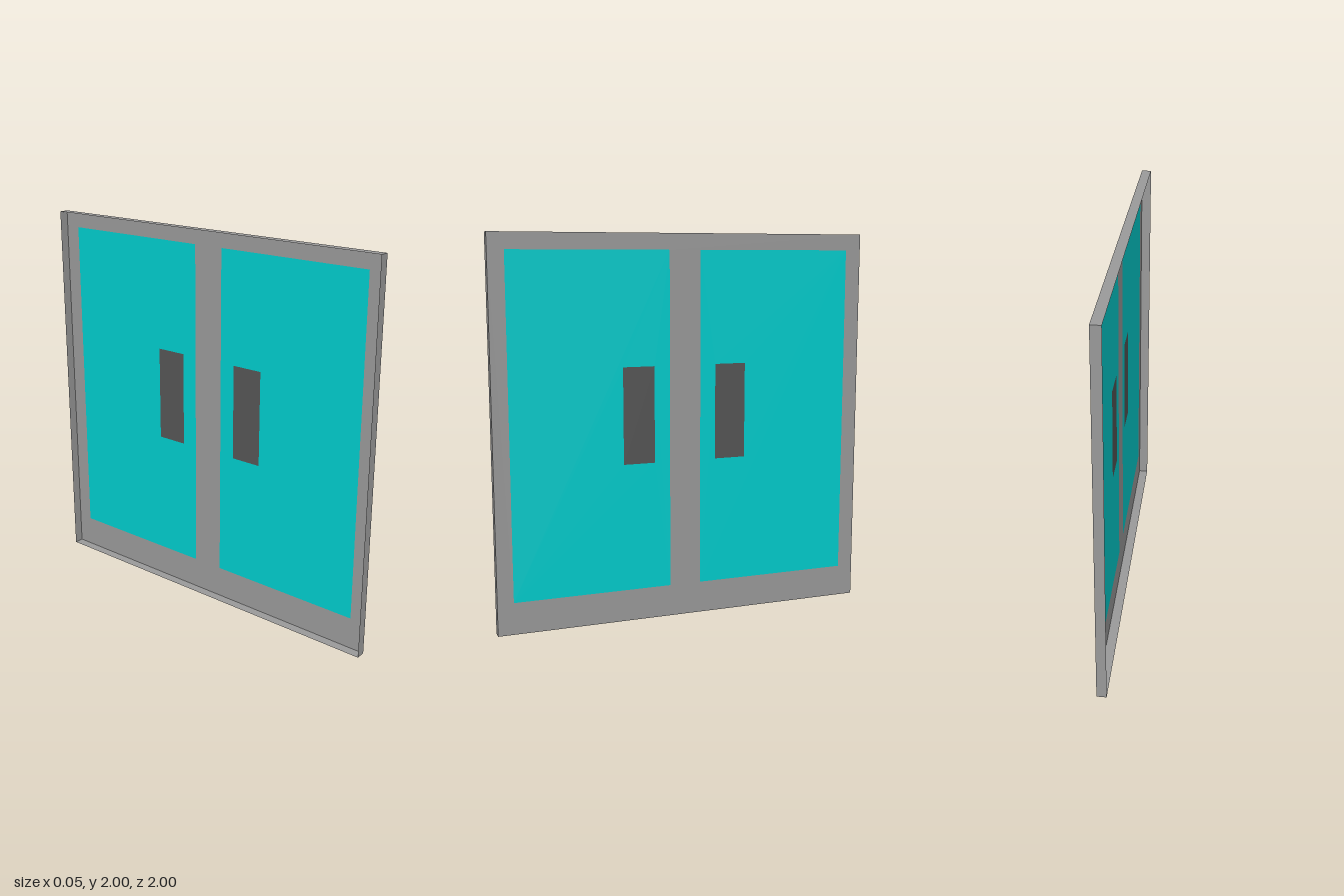
import * as THREE from 'three';

const U = 1 / 12;      // layout unit
const T = 0.025;       // half thickness

const paint = (color) => new THREE.MeshStandardMaterial({ color, side: THREE.DoubleSide, flatShading: true });

// Closed rectangle from corner coordinates given in layout units
function rect(Type, [x0, y0, x1, y1]) {
  return new Type([[x0, y0], [x1, y0], [x1, y1], [x0, y1]].map(([x, y]) => new THREE.Vector2(x * U, y * U)));
}

// Flat sheet with rectangular cut-outs, facing +x
function sheet(name, material, outline, holes = []) {
  const shape = rect(THREE.Shape, outline);
  shape.holes = holes.map((h) => rect(THREE.Path, h));
  const mesh = new THREE.Mesh(new THREE.ShapeGeometry(shape).rotateY(Math.PI / 2), material);
  mesh.position.x = T;
  mesh.name = name;
  return mesh;
}

export function createModel() {
  const group = new THREE.Group();
  group.name = 'doubleDoor';
  const frameMat = paint(0x999999);
  const panelMat = paint(0x00cccc);
  const handleMat = paint(0x555555);

  const panels = [[-11, 2, -1, 23], [1, 2, 11, 23]];
  const handles = [[-4, 10, -2, 16], [2, 10, 4, 16]];

  // Front sheet: frame, door panels and handles all flush
  group.add(sheet('frame', frameMat, [-12, 0, 12, 24], panels));
  panels.forEach((p, i) => {
    group.add(sheet('doorPanel', panelMat, p, [handles[i]]));
    group.add(sheet('handle', handleMat, handles[i]));
  });

  // Thin rim around the sheet, open at the back (-x)
  ['topRim', 'frontRim', 'bottomRim', 'backRim'].forEach((name, i) => {
    const geometry = new THREE.PlaneGeometry(2 * T, 2)
      .rotateX(-Math.PI / 2)
      .translate(0, 1, 0)
      .rotateX(i * Math.PI / 2)
      .translate(0, 1, 0);
    const rim = new THREE.Mesh(geometry, frameMat);
    rim.name = name;
    group.add(rim);
  });

  return group;
}
